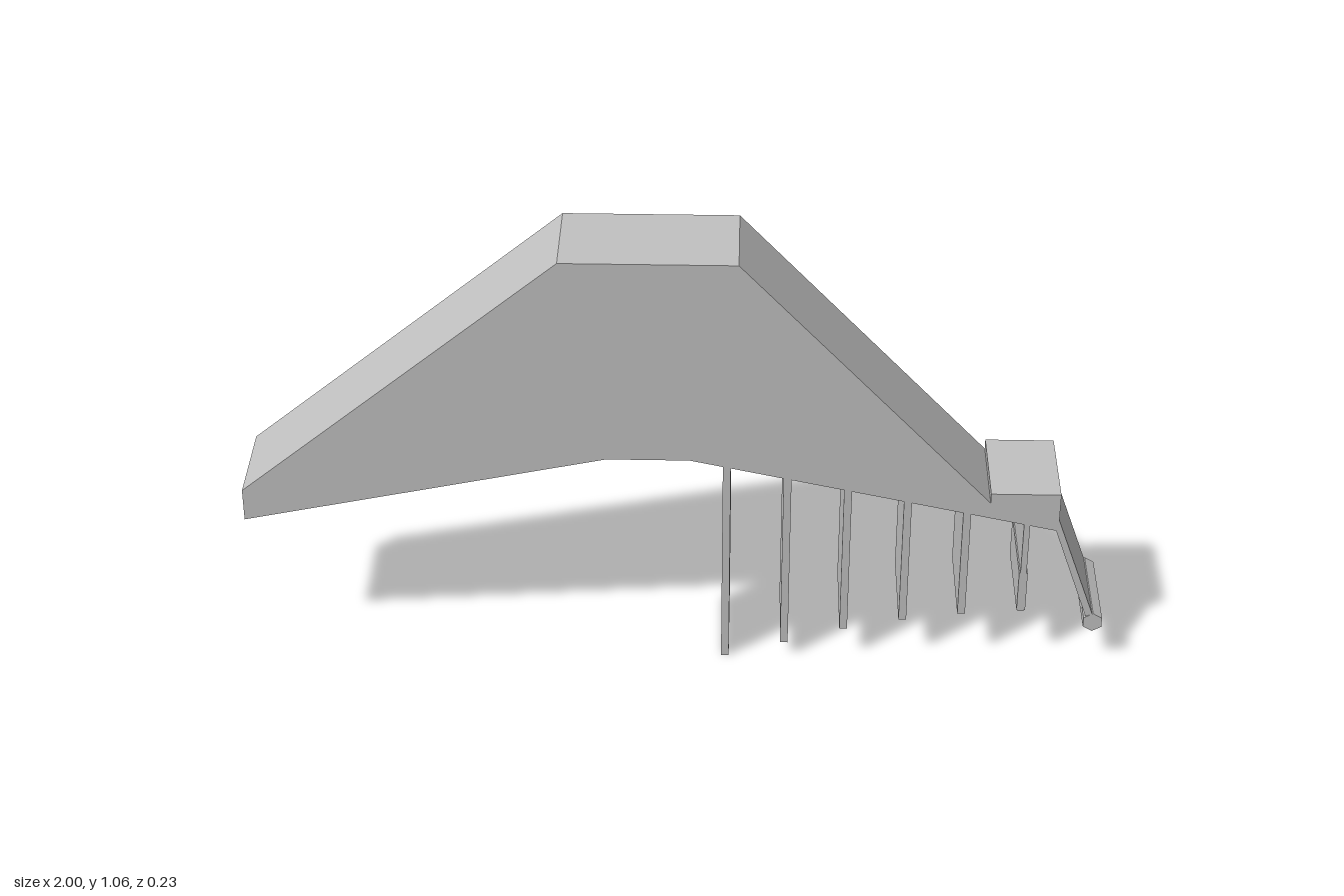
import * as THREE from 'three';

const DEPTH = 0.23;

export function createModel() {
  const model = new THREE.Group();
  const grey = new THREE.MeshStandardMaterial({ color: 0xc0c0c0, flatShading: true });
  grey.name = 'plain grey';

  const add = (name, geometry) => {
    const mesh = new THREE.Mesh(geometry, grey);
    mesh.name = name;
    model.add(mesh);
    return mesh;
  };

  // Extrude a front outline through the full depth, centred on z = 0
  const slab = (name, points) => {
    const shape = new THREE.Shape(points.map(([x, y]) => new THREE.Vector2(x, y)));
    const geometry = new THREE.ExtrudeGeometry(shape, { depth: DEPTH, bevelEnabled: false });
    return add(name, geometry.translate(0, 0, -DEPTH / 2));
  };

  // Sloped main body with the raised block at its left end
  slab('body', [
    [-1, 0.37], [-0.16, 0.55], [0.03, 0.55], [0.88, 0.37], [0.88, 0.47],
    [0.72, 0.47], [0.72, 0.445], [0.137, 1.06], [-0.262, 1.06], [-1, 0.45],
  ]);

  // Hanging panels, shorter toward the left end: [x, bottom]
  const undersideAt = (x) => 0.55 - (x - 0.03) * (0.18 / 0.85);
  const panel = (name, x, bottom, top, width) =>
    add(name, new THREE.BoxGeometry(width, top - bottom, DEPTH))
      .position.set(x, (top + bottom) / 2, 0);
  [[0.115, 0], [0.254, 0.04], [0.393, 0.083], [0.531, 0.112], [0.668, 0.132]].forEach(
    ([x, bottom], i) => panel(`hangingPanel${i + 1}`, x, bottom, undersideAt(x) + 0.005, 0.018),
  );

  // Last panel has a thicker band on its lower part
  panel('hangingPanel6', 0.807, 0.142, undersideAt(0.807) + 0.005, 0.014);
  panel('panelBand', 0.807, 0.145, 0.25, 0.02);

  // Slanted end flap and the six-sided bar along its lower edge
  slab('endFlap', [[0.866, 0.395], [0.959, 0.13], [0.975, 0.135], [0.88, 0.4]]);
  const bar = new THREE.CylinderGeometry(0.025, 0.025, DEPTH, 6).rotateX(Math.PI / 2);
  add('flapBar', bar).position.set(0.977, 0.112, 0);

  return model;
}
